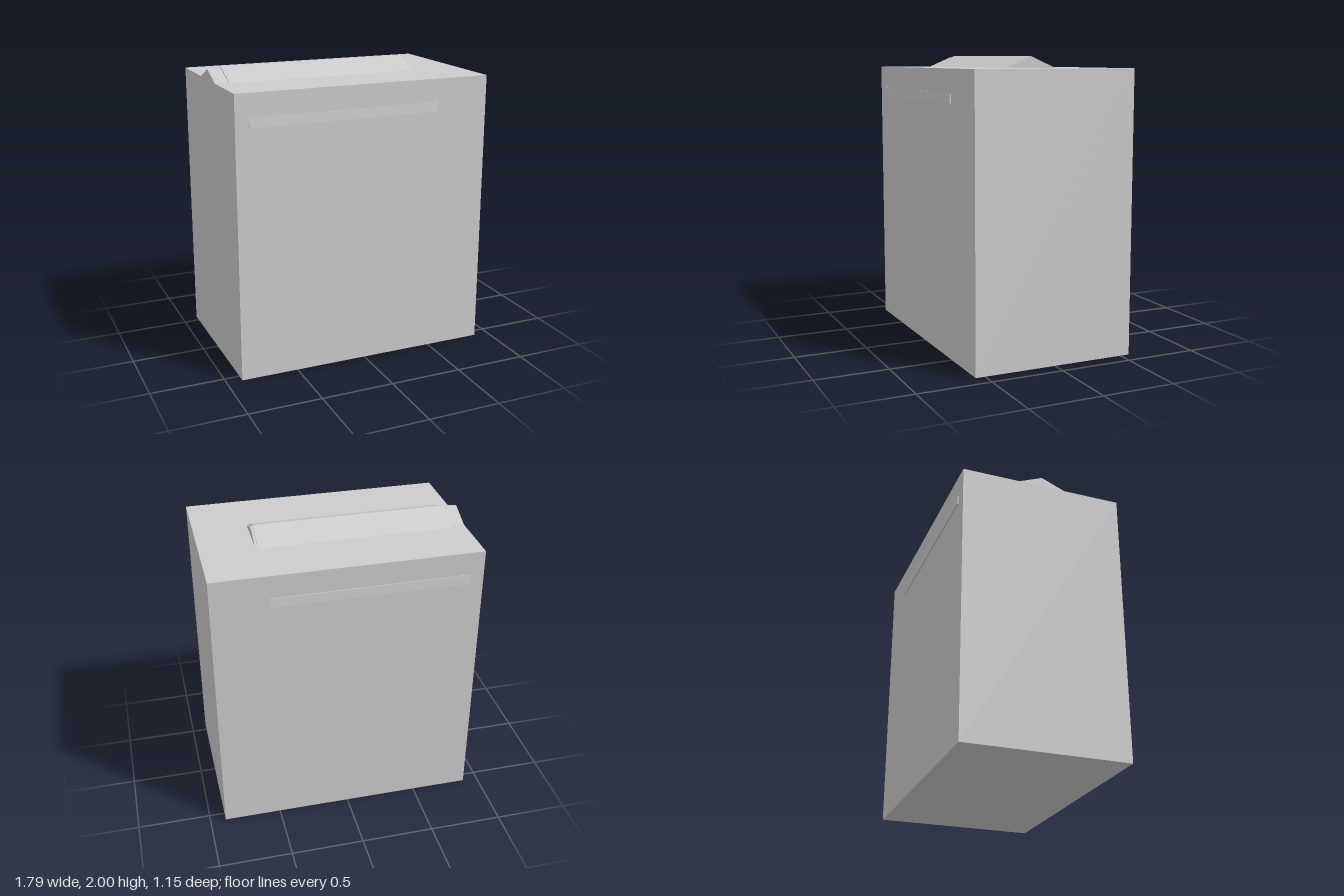
import * as THREE from 'three';

const material = new THREE.MeshStandardMaterial({ color: 0xcccccc, flatShading: true });

// Extrudes a (z, y) outline along x from x0 to x1.
function extrudeAlongX(name, points, x0, x1) {
  const shape = new THREE.Shape(points.map(([z, y]) => new THREE.Vector2(-z, y)));
  const geometry = new THREE.ExtrudeGeometry(shape, { depth: x1 - x0, bevelEnabled: false });
  geometry.rotateY(Math.PI / 2).translate(x0, 0, 0);
  const mesh = new THREE.Mesh(geometry, material);
  mesh.name = name;
  return mesh;
}

export function createModel() {
  const model = new THREE.Group();
  model.name = 'building';

  // Main block
  const body = new THREE.Mesh(new THREE.BoxGeometry(1.787, 1.92, 1.13), material);
  body.name = 'body';
  body.position.y = 0.96;
  model.add(body);

  // Low gabled ridge on the flat top, flush with the right wall
  model.add(extrudeAlongX('ridge', [[-0.168, 1.919], [0.168, 1.919], [0, 1.989]], -0.893, 0.53));

  // Thin pitched cover over the ridge, open at its ends
  model.add(extrudeAlongX('ridgeCover', [
    [-0.188, 1.92], [-0.17, 1.92], [0, 1.99], [0.17, 1.92], [0.188, 1.92], [0, 2.0],
  ], -0.802, 0.515));

  // Narrow cap along the crest
  model.add(extrudeAlongX('ridgeCap', [
    [-0.018, 1.982], [0.012, 1.984], [0.008, 1.991], [-0.014, 1.991],
  ], -0.822, 0.534));

  // Sloping strip high on the front and back walls
  for (const side of [1, -1]) {
    model.add(extrudeAlongX(side > 0 ? 'frontStrip' : 'backStrip', [
      [side * 0.56, 1.7], [side * 0.575, 1.7], [side * 0.57, 1.763], [side * 0.56, 1.763],
    ], -0.802, 0.515));
  }
  return model;
}
